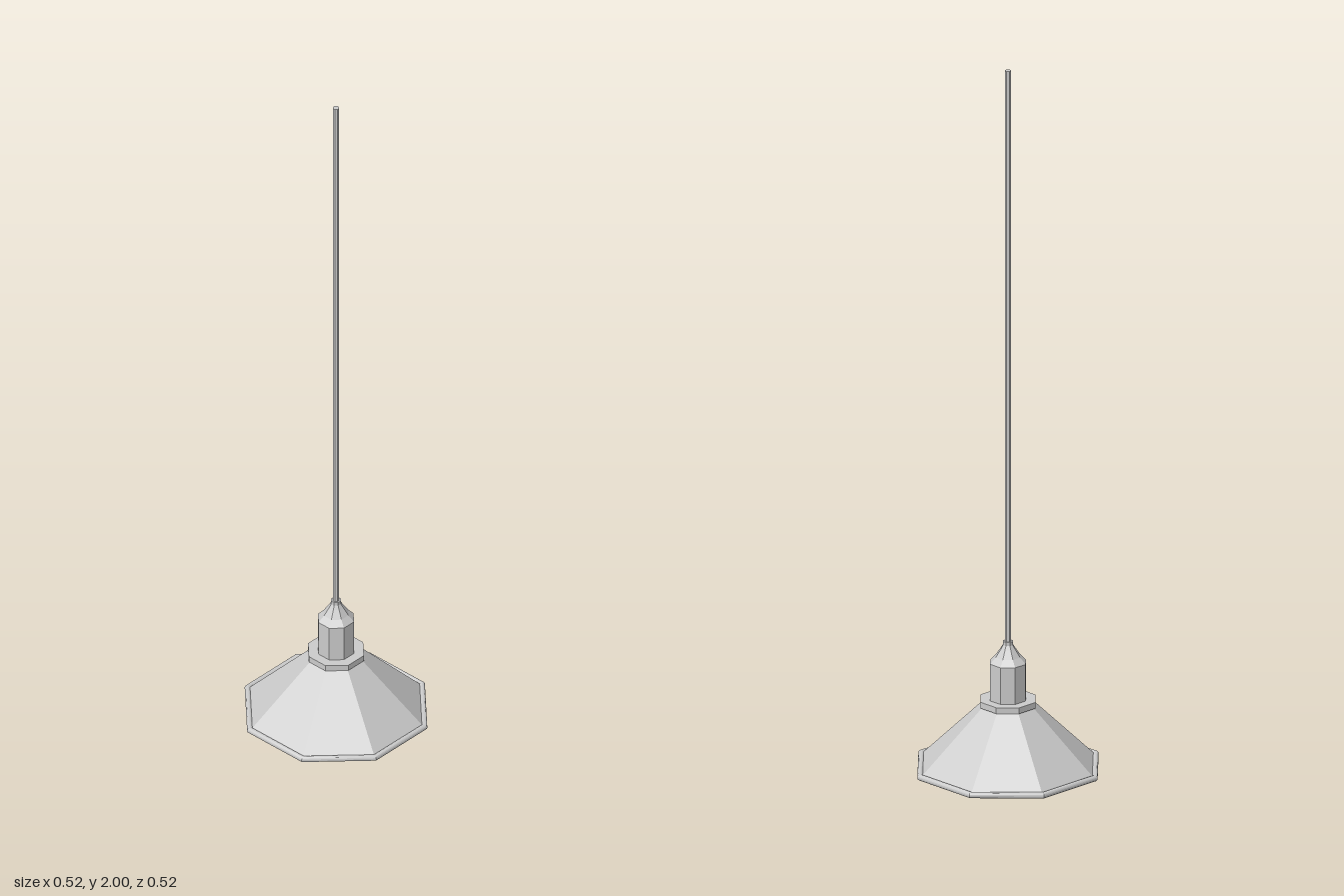
import * as THREE from 'three';
import { toCreasedNormals } from 'three/addons/utils/BufferGeometryUtils.js';

const SIDES = 8;

function material(options = {}) {
  return new THREE.MeshStandardMaterial({ color: 0xcccccc, ...options });
}

// Revolve [radius, height] pairs, listed from bottom to top
function lathe(profile, segments) {
  return new THREE.LatheGeometry(profile.map(([r, y]) => new THREE.Vector2(r, y)), segments);
}

export function createModel() {
  const lamp = new THREE.Group();
  lamp.name = 'pendantLamp';

  function add(name, geometry, mat) {
    const mesh = new THREE.Mesh(geometry, mat);
    mesh.name = name;
    lamp.add(mesh);
    return mesh;
  }
  const faceted = material({ flatShading: true });

  // Hanging rod
  add('rod', new THREE.CylinderGeometry(0.009, 0.009, 1.63, SIDES), faceted).position.y = 1.185;

  // Socket with its flared cap and a ferrule around the rod
  add('socket', lathe([
    [0, 0.225], [0.051, 0.225], [0.051, 0.335], [0.035, 0.352],
    [0.02, 0.374], [0.014, 0.384], [0.014, 0.394], [0, 0.394],
  ], SIDES), faceted);

  // Collar on top of the shade
  add('collar', lathe([
    [0, 0.215], [0.079, 0.215], [0.079, 0.232], [0, 0.232],
  ], SIDES), faceted);

  // Thin octagonal shade, open at the bottom
  add('shade', lathe([[0.246, 0.045], [0.072, 0.217]], SIDES),
    material({ flatShading: true, side: THREE.DoubleSide }));

  // Rounded rim: smooth around the tube, sharp at the eight corners
  const rim = new THREE.TorusGeometry(0.25, 0.0085, 16, SIDES).rotateX(Math.PI / 2);
  add('rim', toCreasedNormals(rim, 0.6), material()).position.y = 0.043;

  // Bulb: a smooth globe with a narrow neck reaching the socket
  const bulb = [];
  for (let i = 0; i <= 14; i++) {
    const a = (i / 14) * 2.65;
    bulb.push([0.07 * Math.sin(a), 0.07 - 0.07 * Math.cos(a)]);
  }
  bulb.push([0.03, 0.145], [0.028, 0.216]);
  add('bulb', lathe(bulb, 24), material());

  return lamp;
}
